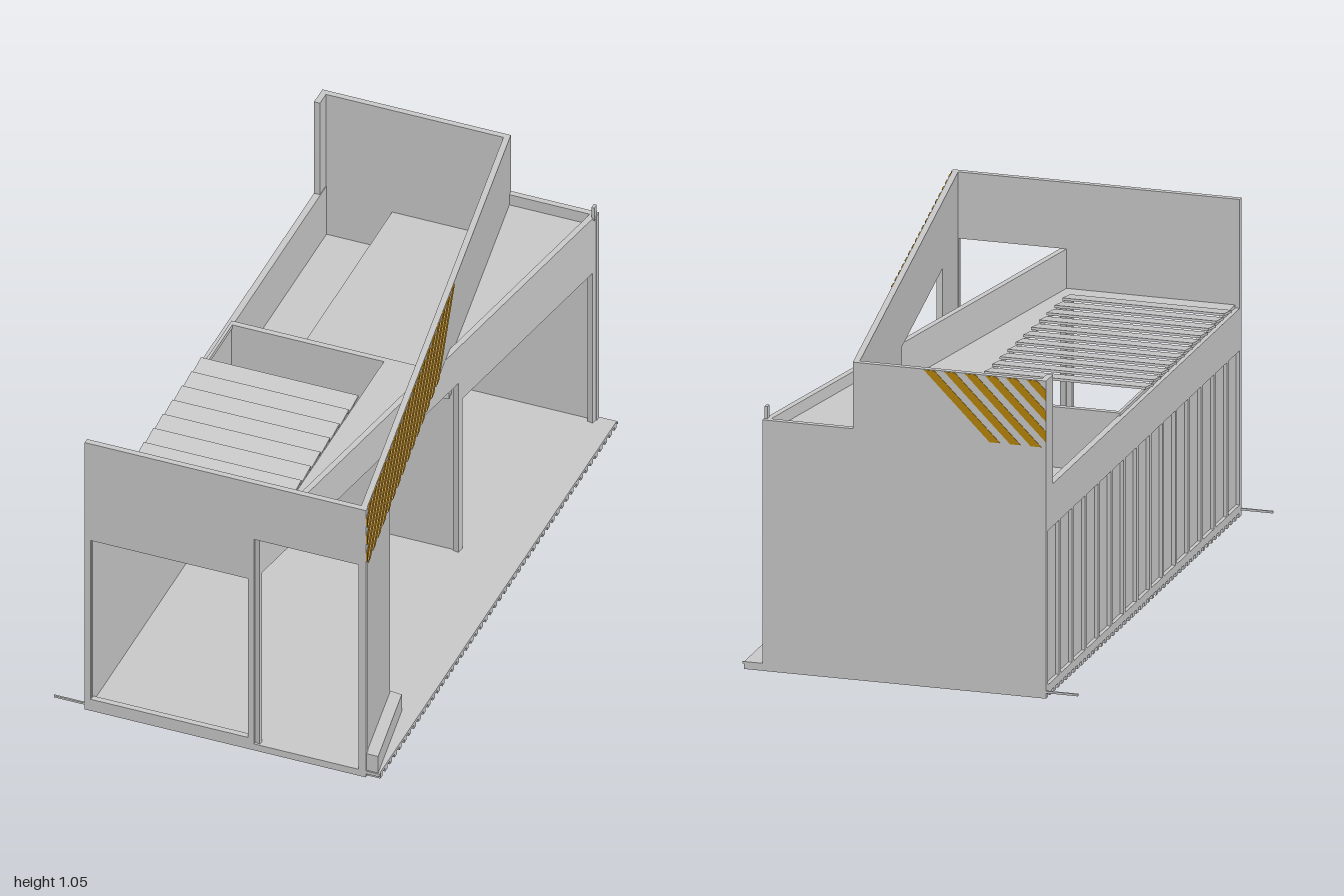
import * as THREE from 'three';

const grey = new THREE.MeshStandardMaterial({ color: 0xcccccc, flatShading: true });
const amber = new THREE.MeshStandardMaterial({ color: 0xb8860b, flatShading: true });
const toShape = (pts) => new THREE.Shape(pts.map(([a, b]) => new THREE.Vector2(a, b)));
const rect = (x0, y0, x1, y1) => [[x0, y0], [x1, y0], [x1, y1], [x0, y1]];

export function createModel() {
  const model = new THREE.Group();
  model.name = 'openBuilding';

  const add = (name, geometry, material = grey) => {
    const mesh = new THREE.Mesh(geometry, material);
    mesh.name = name;
    model.add(mesh);
    return mesh;
  };
  const box = (name, x0, x1, y0, y1, z0, z1) => {
    const mesh = add(name, new THREE.BoxGeometry(x1 - x0, y1 - y0, z1 - z0));
    mesh.position.set((x0 + x1) / 2, (y0 + y1) / 2, (z0 + z1) / 2);
    return mesh;
  };
  const extrude = (outline, holes, depth) => {
    const shape = toShape(outline);
    holes.forEach((h) => shape.holes.push(toShape(h)));
    return new THREE.ExtrudeGeometry(shape, { depth, bevelEnabled: false });
  };
  // upright slab running from plan point a to b, outline given as (distance, height)
  const wall = (name, a, b, thick, outline, holes = [], material = grey) => {
    const mesh = add(name, extrude(outline, holes, thick), material);
    mesh.position.set(a[0], 0, a[1]);
    mesh.rotation.y = -Math.atan2(b[1] - a[1], b[0] - a[0]);
    return mesh;
  };
  // horizontal slab with a plan outline (x, z) and its top at the given height
  const deck = (name, top, thick, outline, holes = []) => {
    const mesh = add(name, extrude(outline, holes, thick));
    mesh.rotation.x = Math.PI / 2;
    mesh.position.y = top;
  };

  // floor with battens underneath and thin anchor strips
  box('floor', -0.45, 0.55, 0.014, 0.025, -1, 1);
  for (let i = 0; i < 50; i++) {
    const z = -0.99 + i * 0.0402;
    box('floorBatten', -0.45, 0.55, 0, 0.015, z - 0.009, z + 0.009);
  }
  for (const z of [-0.997, 0.997]) box('anchorStrip', -0.555, 0.555, 0.018, 0.025, z - 0.003, z + 0.003);

  // front and back walls
  const frontOutline = [[0, 0.0], [0.955, 0.0], [0.955, 1.05], [0, 1.05]];
  wall('frontWall', [-0.45, 0.98], [0.5, 0.98], 0.02, frontOutline,
    [rect(0.02, 0.045, 0.555, 0.67), rect(0.575, 0.025, 0.93, 0.83)]);
  wall('backWall', [0.49, -0.98], [-0.45, -0.98], 0.02,
    [[0, 0], [0.94, 0], [0.94, 1.05], [0.3, 1.05], [0.3, 0.83], [0, 0.83]]);
  box('backCornerPost', 0.478, 0.488, 0.82, 0.87, -0.985, -0.965);

  // tall diagonal wall: front pier carrying a long fascia
  const a0 = [0.485, 1], a1 = [0.17, -1];
  wall('fasciaWall', a0, a1, 0.02, [[0, 0.025], [0.334, 0.025], [0.334, 0.83], [1.16, 0.83],
    [1.16, 0.64], [2.02, 0.64], [2.02, 1.05], [0, 1.05]]);

  // lower diagonal wall crossing it, with two large openings
  wall('crossingWall', [0.12, 1], [0.47, -1], 0.02, [[0.01, 0.02], [0.025, 0.02], [0.025, 0.69],
    [1.195, 0.69], [1.195, 0.02], [1.22, 0.02], [1.22, 0.615], [1.995, 0.615], [1.995, 0.02],
    [2.02, 0.02], [2.02, 0.83], [0.01, 0.83]]);
  const crossX = (z) => 0.125 + 0.175 * (1 - z);

  // inner cross wall with doorway and open door leaf
  wall('innerWall', [-0.435, -0.2], [0.345, -0.2], 0.018,
    rect(0, 0.02, 0.775, 0.7), [rect(0.03, 0.03, 0.2, 0.47)]);
  wall('doorLeaf', [-0.39, -0.19], [-0.24, -0.09], 0.006, rect(0, 0.025, 0.18, 0.47));
  box('partition', -0.205, -0.185, 0.02, 0.65, -0.98, -0.2);

  // left wall: thin skin, top beam, sill and outside studs
  box('leftWallSkin', -0.438, -0.428, 0.02, 0.69, -0.99, 0.99);
  box('leftBeam', -0.45, -0.43, 0.55, 0.69, -0.99, 0.99);
  box('leftSill', -0.45, -0.43, 0.02, 0.04, -0.99, 0.99);
  for (let i = 0; i < 16; i++) {
    const z = -0.99 + i * 0.132;
    box('leftStud', -0.45, -0.43, 0.02, 0.56, z - 0.009, z + 0.009);
  }
  box('cornerReturn', -0.45, -0.43, 0.69, 1.05, -0.99, -0.93);

  // roofs
  deck('frontRoof', 0.7, 0.015, [[-0.435, 0.985], [crossX(0.985), 0.985], [crossX(-0.2), -0.2], [-0.435, -0.2]],
    [rect(-0.425, -0.18, 0.09, 0.91)]);
  deck('backRoof', 0.65, 0.015, [[-0.2, -0.2], [crossX(-0.2), -0.2], [crossX(-0.98), -0.98], [-0.2, -0.98]]);
  deck('corridorRoof', 0.5, 0.015, rect(-0.43, -0.98, -0.2, -0.2));
  deck('wedgeRoof', 0.79, 0.012, [[0.315, -0.12], [0.47, -0.985], [0.18, -0.985]]);

  // tilted roof louvres
  for (let i = 0; i < 11; i++) {
    const slat = box('roofLouvre', -0.445, 0.09, 0.702, 0.71, 0.033 + i * 0.08, 0.113 + i * 0.08);
    slat.rotation.x = 0.15;
  }

  // low bench beside the pier
  deck('bench', 0.09, 0.07, [[0.45, 0.66], [0.492, 0.665], [0.545, 0.995], [0.5, 0.995]]);

  // slanted warning stripes, clipped to the building corner
  const stripes = (name, a, b, length) => {
    const h = 0.218, w = 0.035, y = 0.83;
    for (let s = -h + 0.03; s + w + h <= length + 0.01; s += 0.068) {
      const low = s >= 0 ? [[s, y], [s + w, y]]
        : s + w > 0 ? [[0, y - s], [0, y], [s + w, y]] : [[0, y - s], [0, y - s - w]];
      wall(name, a, b, 0.004, [...low, [s + w + h, y + h], [s + h, y + h]], [], amber);
    }
  };
  stripes('fasciaStripe', [0.505, 0.997], [0.19, -1.003], 1.24);
  const backStripes = [[-0.45, -1], [0.19, -1]];
  const before = model.children.length;
  stripes('backStripe', backStripes[0], backStripes[1], 0.46);
  // sink the rear set so only a thin relief stands out behind the wall
  model.children.slice(before).forEach((m) => { m.position.z -= 0.002; });

  return model;
}
